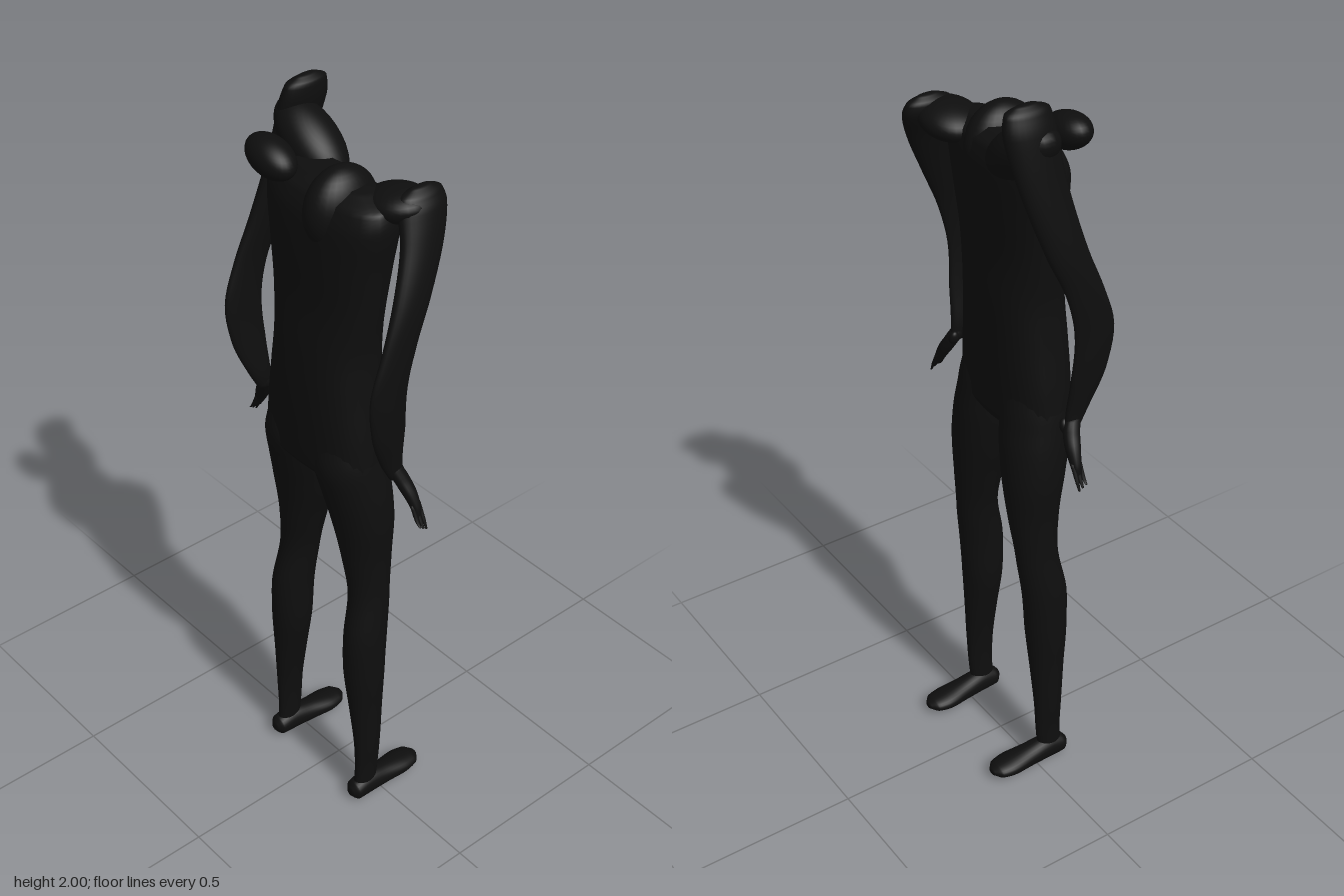
import * as THREE from 'three';

const skin = new THREE.MeshStandardMaterial({ color: 0x0e0e0e });
skin.name = 'matte black';

// Smooth closed body through elliptical sections [x, y, z, radiusX, radiusZ], listed upward.
// A power below 1 makes the sections boxier.
function loft(sections, power = 1, sides = 28, steps = 5) {
  const centres = new THREE.CatmullRomCurve3(sections.map(s => new THREE.Vector3(s[0], s[1], s[2])));
  const radii = new THREE.CatmullRomCurve3(sections.map(s => new THREE.Vector3(s[3], s[4], 0)));
  const rows = (sections.length - 1) * steps;
  const pos = [], index = [];
  const bend = v => Math.sign(v) * Math.abs(v) ** power;
  for (let i = 0; i <= rows; i++) {
    const c = centres.getPoint(i / rows), r = radii.getPoint(i / rows);
    for (let j = 0; j < sides; j++) {
      const a = j / sides * Math.PI * 2;
      pos.push(c.x + r.x * bend(Math.cos(a)), c.y, c.z + r.y * bend(Math.sin(a)));
    }
  }
  for (let i = 0; i < rows; i++) {
    for (let j = 0; j < sides; j++) {
      const k = (j + 1) % sides, a = i * sides, b = a + sides;
      index.push(a + j, b + j, a + k, a + k, b + j, b + k);
    }
  }
  // End caps
  const first = sections[0], last = sections[sections.length - 1];
  const low = pos.length / 3, high = low + 1;
  pos.push(...first.slice(0, 3), ...last.slice(0, 3));
  for (let j = 0; j < sides; j++) {
    const k = (j + 1) % sides;
    index.push(low, j, k, high, rows * sides + k, rows * sides + j);
  }
  const g = new THREE.BufferGeometry();
  g.setAttribute('position', new THREE.Float32BufferAttribute(pos, 3));
  g.setIndex(index);
  g.computeVertexNormals();
  return g;
}

export function createModel() {
  const model = new THREE.Group();
  model.name = 'figure';
  const add = (name, geometry) => {
    const mesh = new THREE.Mesh(geometry, skin);
    mesh.name = name;
    model.add(mesh);
    return mesh;
  };
  const ellipsoid = (name, p, r, tilt = 0) => {
    const mesh = add(name, new THREE.SphereGeometry(1, 28, 20));
    mesh.position.set(...p);
    mesh.scale.set(...r);
    mesh.rotation.z = tilt;
  };
  const mirrored = (s, rows) => rows.map(([x, ...rest]) => [x * s, ...rest]);

  // Torso from crotch to collar
  add('torso', loft([
    [0, 1.075, 0.04, 0.12, 0.07],
    [0, 1.11, 0.045, 0.178, 0.092],
    [0, 1.2, 0.045, 0.172, 0.095],
    [0, 1.32, 0.042, 0.156, 0.097],
    [0, 1.43, 0.036, 0.147, 0.096],
    [0, 1.55, 0.031, 0.16, 0.088],
    [0, 1.68, 0.025, 0.178, 0.092],
    [0, 1.78, 0.02, 0.195, 0.09],
    [0, 1.83, 0.015, 0.185, 0.075],
    [0, 1.855, 0.01, 0.12, 0.04],
  ], 0.8));

  // Bowed head sunk between the shoulders
  ellipsoid('head', [0.04, 1.79, 0.03], [0.065, 0.105, 0.1]);

  // Shoulder slopes and the shoulder blade pushed out by the raised shoulder
  ellipsoid('rightShoulderSlope', [-0.145, 1.86, -0.04], [0.125, 0.06, 0.07], -0.6);
  ellipsoid('leftShoulderSlope', [0.15, 1.825, -0.04], [0.085, 0.042, 0.075], 0.15);
  ellipsoid('rightShoulderBlade', [-0.13, 1.87, 0.092], [0.075, 0.045, 0.05], -0.25);

  for (const [side, s, top] of [['left', 1, 1.877], ['right', -1, 2]]) {
    const lift = top - 1.877;

    // Arm from wrist to shoulder, the shoulder carried forward
    add(side + 'Arm', loft(mirrored(s, [
      [0.25, 1.15, 0.035, 0.012, 0.02],
      [0.25, 1.2, 0.05, 0.015, 0.032],
      [0.262, 1.3, 0.072, 0.016, 0.05],
      [0.269, 1.42, 0.08, 0.016, 0.056],
      [0.269, 1.53, 0.05, 0.018, 0.052],
      [0.258, 1.64, 0.005, 0.024, 0.055],
      [0.232, 1.76 + lift * 0.4, -0.045, 0.028, 0.062],
      [0.207, 1.83 + lift * 0.85, -0.065, 0.034, 0.068],
      [0.198, 1.862 + lift, -0.068, 0.026, 0.058],
      [0.197, top, -0.07, 0.008, 0.025],
    ])));

    // Hand with a short thumb and spread fingers
    add(side + 'Hand', loft(mirrored(s, [
      [0.31, 1.05, 0.014, 0.007, 0.012],
      [0.297, 1.08, 0.014, 0.016, 0.014],
      [0.275, 1.12, 0.02, 0.021, 0.02],
      [0.256, 1.155, 0.03, 0.02, 0.022],
      [0.25, 1.18, 0.04, 0.013, 0.02],
    ]), 1, 16));
    for (const [i, z] of [0.004, 0.014, 0.024].entries()) {
      add(side + 'Finger', loft(mirrored(s, [
        [0.329, 1.022 + i * 0.006, z, 0.002, 0.003],
        [0.318, 1.045, z, 0.005, 0.005],
        [0.297, 1.085, z, 0.007, 0.006],
      ]), 1, 10));
    }
    ellipsoid(side + 'Thumb', [s * 0.243, 1.158, 0.02], [0.012, 0.02, 0.014], s * 0.3);

    // Leg from ankle to hip
    add(side + 'Leg', loft(mirrored(s, [
      [0.165, 0.03, 0.05, 0.022, 0.035],
      [0.165, 0.1, 0.043, 0.021, 0.037],
      [0.165, 0.2, 0.041, 0.026, 0.041],
      [0.157, 0.33, 0.041, 0.038, 0.049],
      [0.149, 0.46, 0.041, 0.051, 0.058],
      [0.147, 0.58, 0.036, 0.05, 0.062],
      [0.138, 0.7, 0.018, 0.048, 0.058],
      [0.123, 0.83, 0.015, 0.062, 0.068],
      [0.113, 0.94, 0.02, 0.081, 0.08],
      [0.101, 1.04, 0.032, 0.088, 0.09],
      [0.092, 1.12, 0.045, 0.088, 0.094],
      [0.085, 1.22, 0.045, 0.075, 0.075],
    ])));

    // Foot, lofted heel to toe, then laid along -z
    const foot = loft(mirrored(s, [
      [0.165, -0.1, 0.033, 0.012, 0.012],
      [0.165, -0.085, 0.033, 0.028, 0.029],
      [0.164, -0.04, 0.036, 0.03, 0.036],
      [0.162, 0.02, 0.032, 0.034, 0.031],
      [0.16, 0.08, 0.029, 0.04, 0.025],
      [0.16, 0.12, 0.029, 0.033, 0.018],
      [0.16, 0.139, 0.029, 0.012, 0.007],
    ]));
    foot.rotateX(-Math.PI / 2);
    add(side + 'Foot', foot);
  }
  return model;
}
